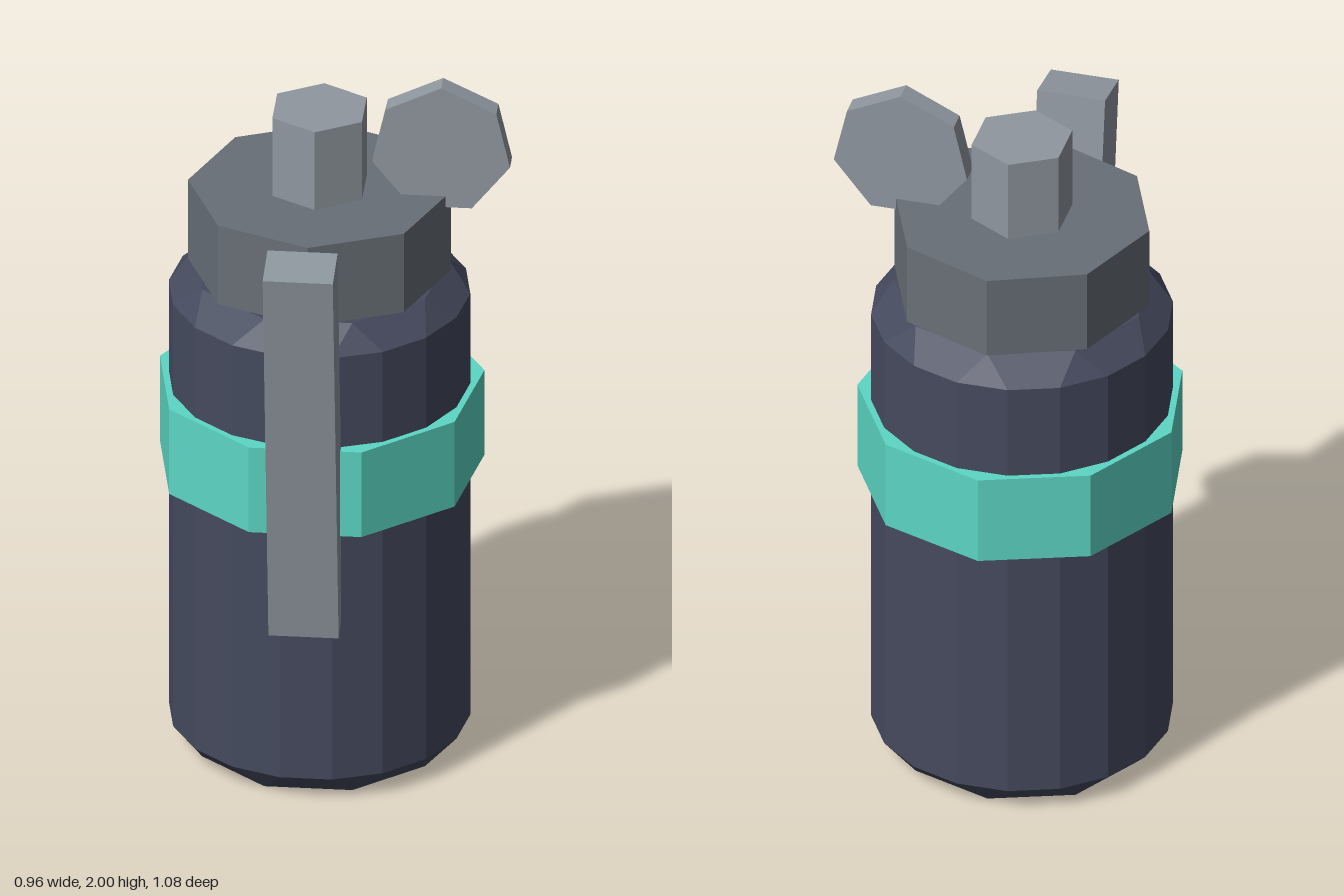
import * as THREE from 'three';

const mat = (name, color) => {
  const m = new THREE.MeshStandardMaterial({ color, flatShading: true });
  m.name = name;
  return m;
};

// Lofts nine corners, each split into two points by an angular spread (degrees)
function bevelledBody(rings) {
  const point = ([y, r, spread], i) => {
    const k = Math.floor(i / 2);
    const a = THREE.MathUtils.degToRad(180 + k * 40 + (i % 2 ? spread : -spread));
    return new THREE.Vector3(r * Math.sin(a), y, r * Math.cos(a));
  };
  const pos = [];
  const tri = (a, b, c) => {
    if (new THREE.Triangle(a, b, c).getArea() < 1e-6) return;
    for (const p of [a, b, c]) pos.push(p.x, p.y, p.z);
  };
  for (let j = 0; j < rings.length - 1; j++) {
    for (let i = 0; i < 18; i++) {
      const n = (i + 1) % 18;
      const a = point(rings[j], i), b = point(rings[j], n);
      const c = point(rings[j + 1], n), d = point(rings[j + 1], i);
      tri(a, b, c);
      tri(a, c, d);
    }
  }
  const g = new THREE.BufferGeometry();
  g.setAttribute('position', new THREE.Float32BufferAttribute(pos, 3));
  g.computeVertexNormals();
  return g;
}

export function createModel() {
  const group = new THREE.Group();
  const navy = mat('dark navy', 0x454a5e);
  const teal = mat('teal', 0x5cd6c4);
  const darkGrey = mat('dark grey', 0x686f77);
  const steel = mat('steel grey', 0x8f979f);
  const CX = -0.042, CZ = -0.094;

  const add = (name, geometry, material, x, y, z) => {
    const mesh = new THREE.Mesh(geometry, material);
    mesh.name = name;
    mesh.position.set(x, y, z);
    group.add(mesh);
    return mesh;
  };
  // Upright prism with a corner pointing to the back
  const prism = (name, r, y0, y1, sides, material) =>
    add(name, new THREE.CylinderGeometry(r, r, y1 - y0, sides, 1, false, Math.PI),
      material, CX, (y0 + y1) / 2, CZ);

  // Canister with bevelled corners and ends
  add('body', bevelledBody([
    [0, 0, 0], [0, 0.348, 0], [0.07, 0.408, 10],
    [1.36, 0.408, 10], [1.43, 0.348, 0], [1.43, 0, 0],
  ]), navy, CX, 0, CZ);

  // Band, collar and top post
  prism('band', 0.446, 0.826, 1.085, 9, teal);
  prism('collar', 0.356, 1.43, 1.67, 8, darkGrey);
  prism('topPost', 0.14, 1.67, 1.908, 6, steel);

  // Seven-sided pull tab standing upright, one corner up
  const tab = new THREE.CylinderGeometry(0.191, 0.191, 0.06, 7, 1, false, Math.PI);
  tab.rotateX(Math.PI / 2);
  add('pullTab', tab, steel, 0.29, 1.809, CZ);

  // Tilted lever on the front
  const lever = add('lever', new THREE.BoxGeometry(0.19, 1.187, 0.14), steel, CX, 1.135, 0.386);
  lever.rotation.x = 0.142;

  return group;
}
